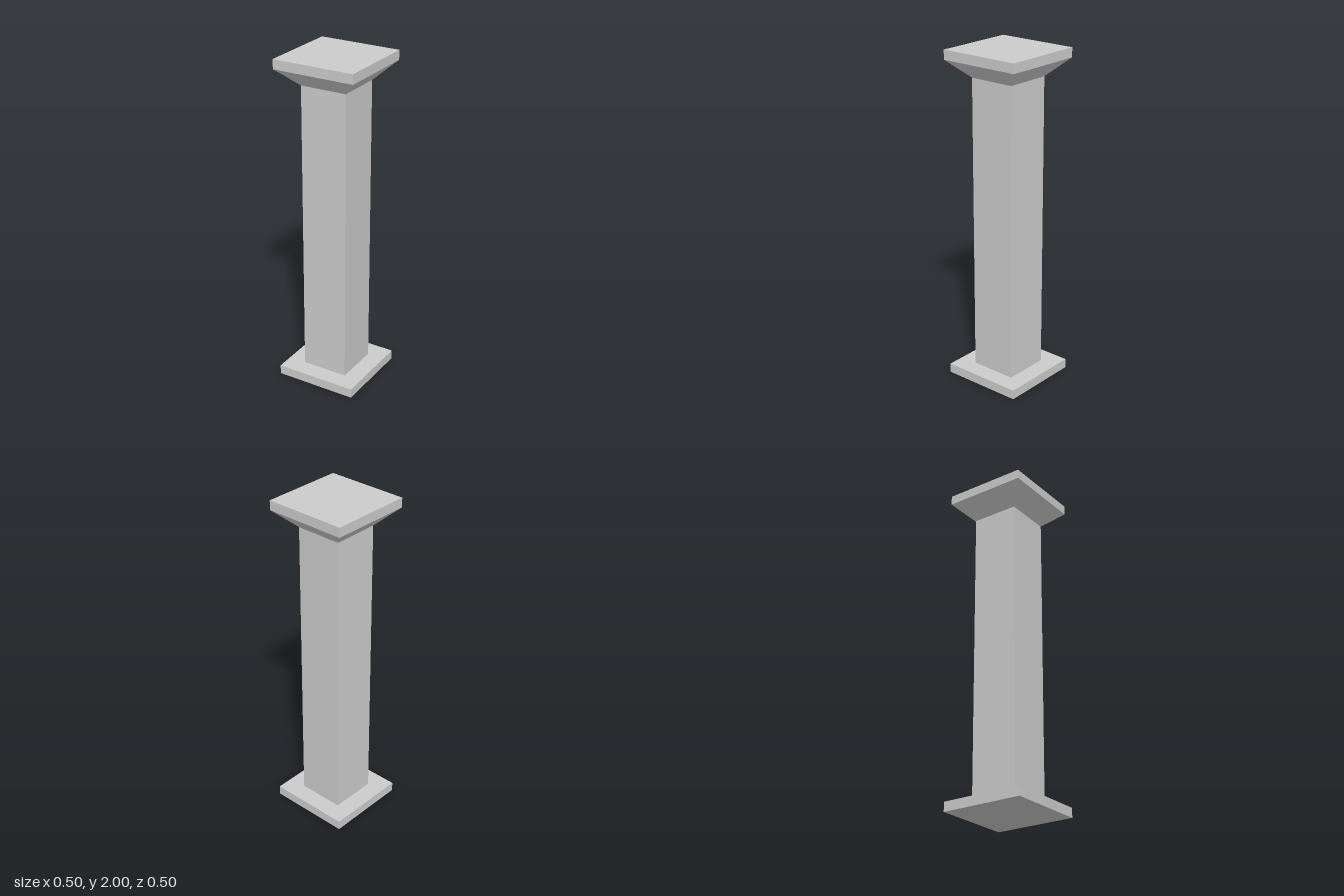
import * as THREE from 'three';

const PLATE = 0.5;      // width of base and top slabs
const SHAFT = 0.284;    // width of the shaft
const SLAB = 0.057;     // slab thickness
const FLARE_Y = 1.84;   // where the shaft meets the capital

export function createModel() {
  const group = new THREE.Group();
  const material = new THREE.MeshStandardMaterial({ color: 0xcccccc, flatShading: true });

  // Square block, tapering from bottom width to top width, between two heights
  function block(name, bottom, top, y0, y1) {
    const geometry = new THREE.BoxGeometry(1, y1 - y0, 1);
    const pos = geometry.attributes.position;
    for (let i = 0; i < pos.count; i++) {
      const width = pos.getY(i) > 0 ? top : bottom;
      pos.setX(i, pos.getX(i) * width);
      pos.setZ(i, pos.getZ(i) * width);
    }
    geometry.computeVertexNormals();
    const mesh = new THREE.Mesh(geometry, material);
    mesh.name = name;
    mesh.position.y = (y0 + y1) / 2;
    group.add(mesh);
  }

  block('basePlate', PLATE, PLATE, 0, SLAB);
  block('shaft', SHAFT, SHAFT, SLAB, FLARE_Y);
  block('flaredCapital', SHAFT, PLATE, FLARE_Y, 2 - SLAB);
  block('topPlate', PLATE, PLATE, 2 - SLAB, 2);

  group.name = 'column';
  return group;
}
